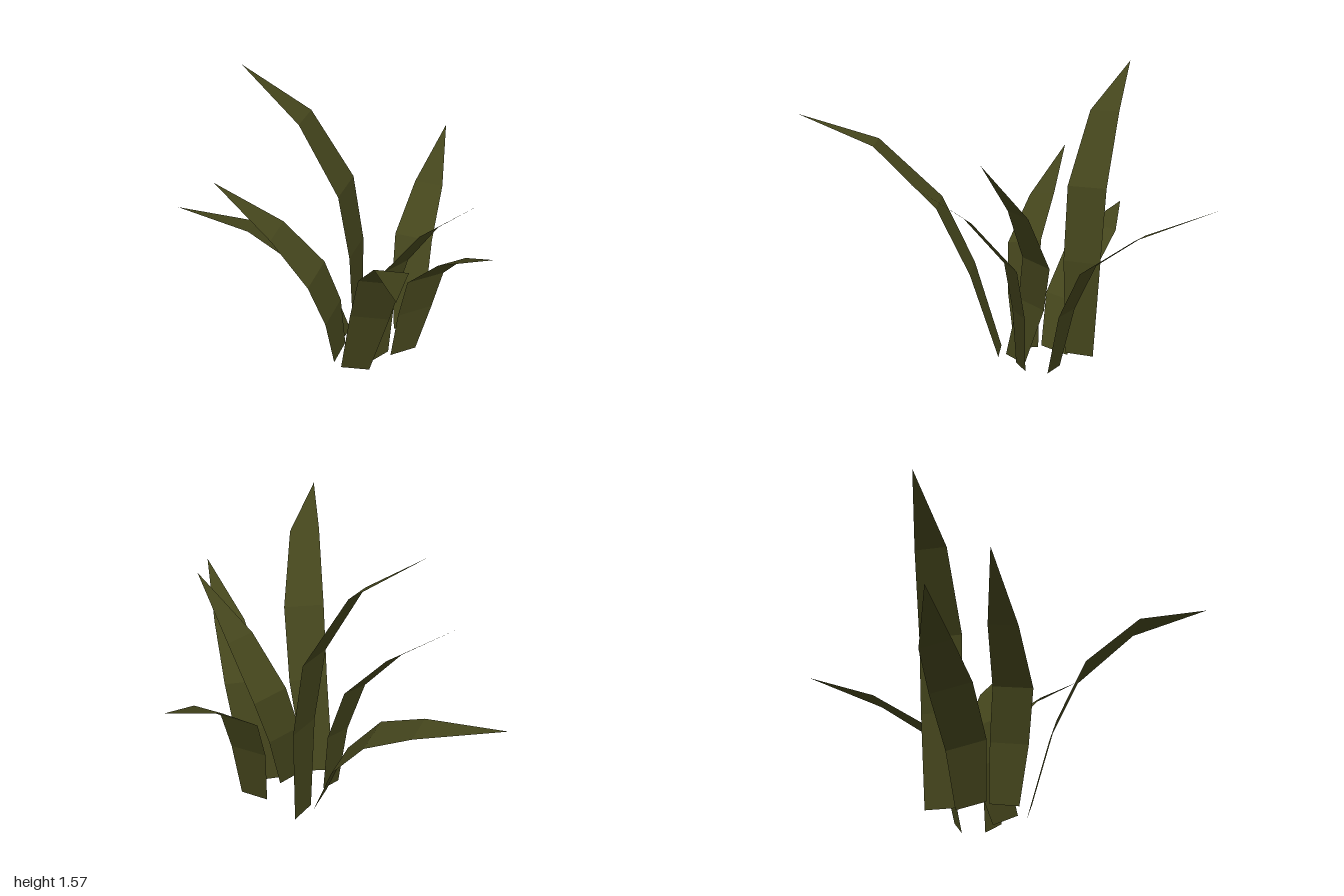
import * as THREE from 'three';

const material = new THREE.MeshStandardMaterial({
  color: 0x44451c, flatShading: true, side: THREE.DoubleSide,
});

// Relative width of a blade from base to tip
const TAPER = [0.72, 0.95, 1, 0.75, 0];

// One folded leaf: a spine of five points, widened both ways along the side vector
function blade(name, side, spine) {
  const s = new THREE.Vector3(...side);
  const rows = spine.map((p) => new THREE.Vector3(...p));
  // Keep the upper surface as the front face
  const lean = rows[4].clone().sub(rows[0]);
  if (s.clone().cross(lean).y < 0) s.negate();

  const positions = [];
  const index = [];
  rows.forEach((p, i) => {
    const a = p.clone().addScaledVector(s, -TAPER[i]);
    const b = p.clone().addScaledVector(s, TAPER[i]);
    positions.push(...a.toArray());
    if (i < 4) positions.push(...b.toArray());
    const k = i * 2;
    if (i < 3) index.push(k, k + 1, k + 3, k, k + 3, k + 2);
    else if (i === 3) index.push(k, k + 1, k + 2);
  });

  const geometry = new THREE.BufferGeometry();
  geometry.setAttribute('position', new THREE.Float32BufferAttribute(positions, 3));
  geometry.setIndex(index);
  geometry.computeVertexNormals();
  const mesh = new THREE.Mesh(geometry, material);
  mesh.name = name;
  return mesh;
}

export function createModel() {
  const plant = new THREE.Group();
  plant.name = 'grassTuft';
  plant.add(
    // Blades arching to the back
    blade('tallBackBlade', [0.08, 0, -0.08],
      [[0.04, 0, -0.42], [0.04, 0.51, -0.43], [0, 0.91, -0.47], [-0.16, 1.3, -0.63], [-0.41, 1.55, -0.88]]),
    blade('lowBackBlade', [0.07, -0.025, -0.08],
      [[-0.08, 0, -0.32], [-0.16, 0.27, -0.4], [-0.28, 0.49, -0.56], [-0.455, 0.6, -0.745], [-0.81, 0.675, -1]]),
    blade('backLeftBlade', [0.078, 0, 0.075],
      [[0.25, 0, -0.2], [0.29, 0.31, -0.255], [0.355, 0.545, -0.345], [0.545, 0.735, -0.545], [0.8, 0.9, -0.84]]),
    blade('backRightBlade', [0.078, 0.018, -0.07],
      [[-0.175, 0, -0.19], [-0.21, 0.31, -0.185], [-0.29, 0.575, -0.215], [-0.445, 0.81, -0.37], [-0.7, 1.05, -0.6]]),
    // Blades arching to the front
    blade('tallFrontBlade', [0.1, -0.015, 0.043],
      [[-0.15, 0, -0.03], [-0.13, 0.48, 0.13], [-0.15, 0.845, 0.305], [-0.235, 1.165, 0.62], [-0.39, 1.31, 1]]),
    blade('middleBlade', [0.095, -0.015, -0.042],
      [[0.015, 0, -0.065], [0.07, 0.31, -0.135], [0.145, 0.55, -0.135], [0.27, 0.835, 0.005], [0.44, 1.12, 0.25]]),
    blade('frontLeftBlade', [0.108, 0, 0],
      [[0.155, 0, -0.05], [0.21, 0.3, -0.02], [0.243, 0.56, 0.035], [0.272, 0.82, 0.27], [0.32, 1.05, 0.61]]),
  );
  return plant;
}
